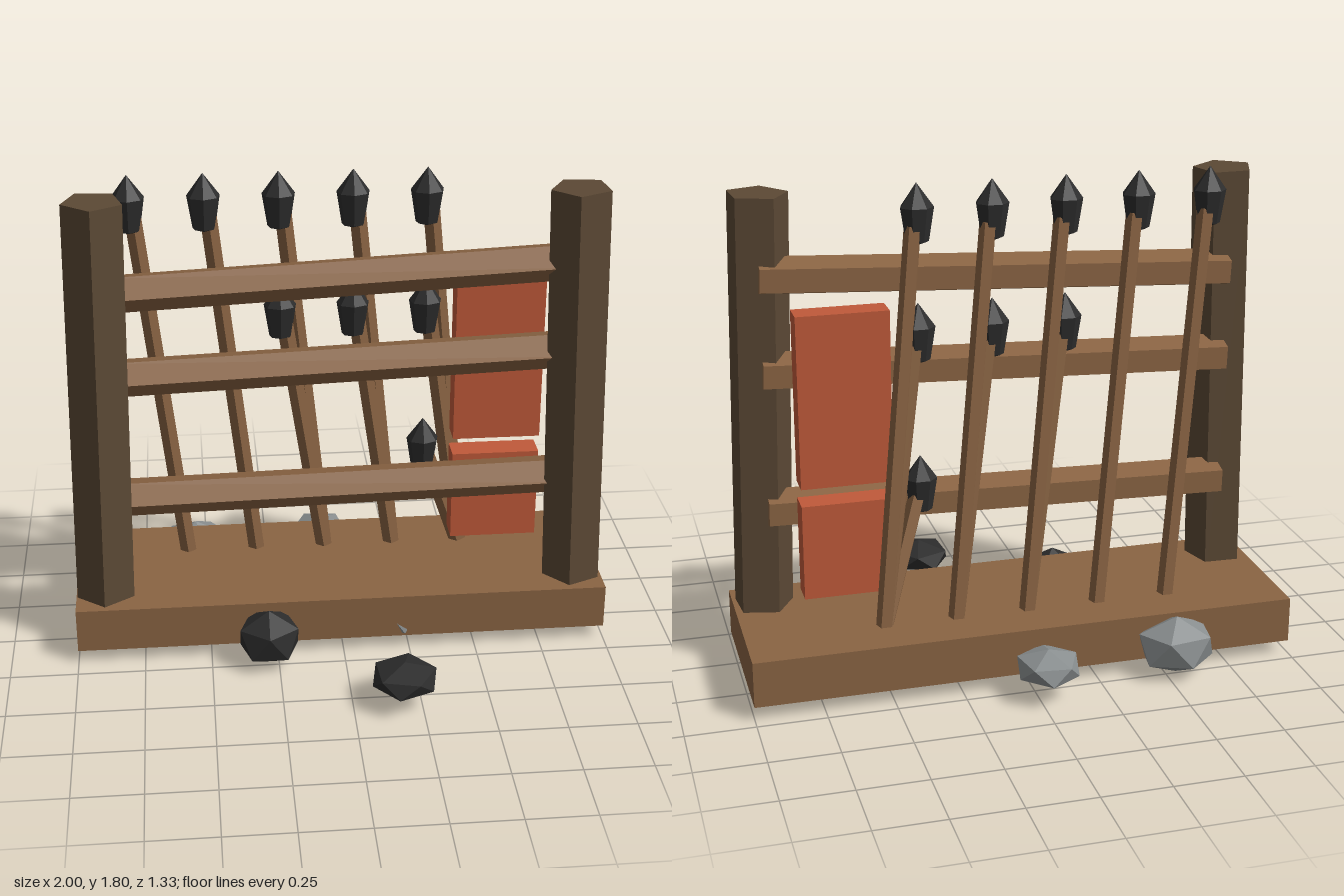
import * as THREE from 'three';

const mat = (name, color) => {
  const m = new THREE.MeshStandardMaterial({ color, flatShading: true });
  m.name = name;
  return m;
};

export function createModel() {
  const model = new THREE.Group();
  model.name = 'spearRack';
  const wood = mat('wood', 0x8a6443);
  const darkWood = mat('darkWood', 0x5c4935);
  const iron = mat('charcoal', 0x2c2c2c);
  const stone = mat('greyStone', 0x8a8f90);
  const red = mat('redPanel', 0xc05a3a);

  const add = (name, geometry, material, parent = model) => {
    const mesh = new THREE.Mesh(geometry, material);
    mesh.name = name;
    parent.add(mesh);
    return mesh;
  };

  const box = (name, material, [x0, x1], [y0, y1], [z0, z1]) => {
    add(name, new THREE.BoxGeometry(x1 - x0, y1 - y0, z1 - z0), material)
      .position.set((x0 + x1) / 2, (y0 + y1) / 2, (z0 + z1) / 2);
  };

  // Faceted bar running between two points
  const bar = (name, material, a, b, rx, rz, sides, spin, parent) => {
    const from = new THREE.Vector3(...a), to = new THREE.Vector3(...b);
    const dir = to.clone().sub(from);
    const geo = new THREE.CylinderGeometry(1, 1, dir.length(), sides, 1, false, spin);
    geo.scale(rx, 1, rz);
    const mesh = add(name, geo, material, parent);
    mesh.position.copy(from).add(to).multiplyScalar(0.5);
    mesh.quaternion.setFromUnitVectors(new THREE.Vector3(0, 1, 0), dir.normalize());
  };

  // Base slab
  box('base', wood, [-1, 1], [0.05, 0.22], [-0.455, 0.17]);

  // Five-sided posts leaning slightly inwards
  bar('rightPost', darkWood, [-0.89, 0.12, 0.035], [-0.857, 1.76, 0.012], 0.112, 0.112, 5, 1.22);
  bar('leftPost', darkWood, [0.892, 0.12, 0.035], [0.853, 1.76, 0.012], 0.112, 0.112, 5, -1.48);

  // Crooked rails: height at each end
  for (const [name, yr, yl] of [['topRail', 1.395, 1.475], ['middleRail', 1.067, 1.13], ['bottomRail', 0.578, 0.615]]) {
    bar(name, wood, [-0.85, yr, -0.05], [0.87, yl, -0.033], 0.071, 0.083, 5, 0);
  }

  // Spears: each leans from its foot on the base up to an upright head
  const headProfile = [[0, -0.22], [0.042, -0.205], [0.061, -0.085], [0, 0]]
    .map(([r, y]) => new THREE.Vector2(r, y));
  const headGeo = new THREE.LatheGeometry(headProfile, 7);
  headGeo.scale(1, 1, 0.85);
  const spear = (x, tip) => {
    const group = new THREE.Group();
    group.name = 'spear';
    model.add(group);
    bar('shaft', wood, [x + 0.168, 0.2, -0.275], [x + 0.015, tip - 0.15, -0.16], 0.032, 0.032, 5, 0, group);
    add('spearHead', headGeo, iron, group).position.set(x, tip, -0.15);
  };
  for (let i = 0; i < 5; i++) {
    const x = -0.74 + i * 0.2675;
    spear(x, 1.8);
    if (i > 1) spear(x, 1.375);
    if (i > 3) spear(x, 0.81);
  }

  // Hanging panels
  box('upperPanel', red, [0.44, 0.77], [0.74, 1.37], [-0.2, -0.1]);
  box('lowerPanel', red, [0.44, 0.77], [0.32, 0.675], [-0.2, -0.1]);

  // Rocks: icosahedra with a corner up, squashed to size
  const rock = (name, material, pos, [rx, ry, rz], spin) => {
    const geo = new THREE.IcosahedronGeometry(1, 0);
    geo.rotateZ(0.5536);
    geo.rotateY(spin);
    geo.scale(rx, ry, rz);
    add(name, geo, material).position.set(...pos);
  };
  rock('darkRock', iron, [-0.285, 0.112, 0.23], [0.127, 0.11, 0.125], 0.3);
  rock('flatDarkRock', iron, [0.185, 0.115, 0.55], [0.13, 0.062, 0.13], 0.7);
  rock('greyRock', stone, [-0.54, 0.112, -0.49], [0.155, 0.11, 0.13], 0.5);
  rock('flatGreyRock', stone, [-0.035, 0.12, -0.55], [0.125, 0.065, 0.13], 0.2);
  rock('smallGreyRock', stone, [0.215, 0.11, 0.06], [0.13, 0.11, 0.13], 1.1);

  return model;
}
